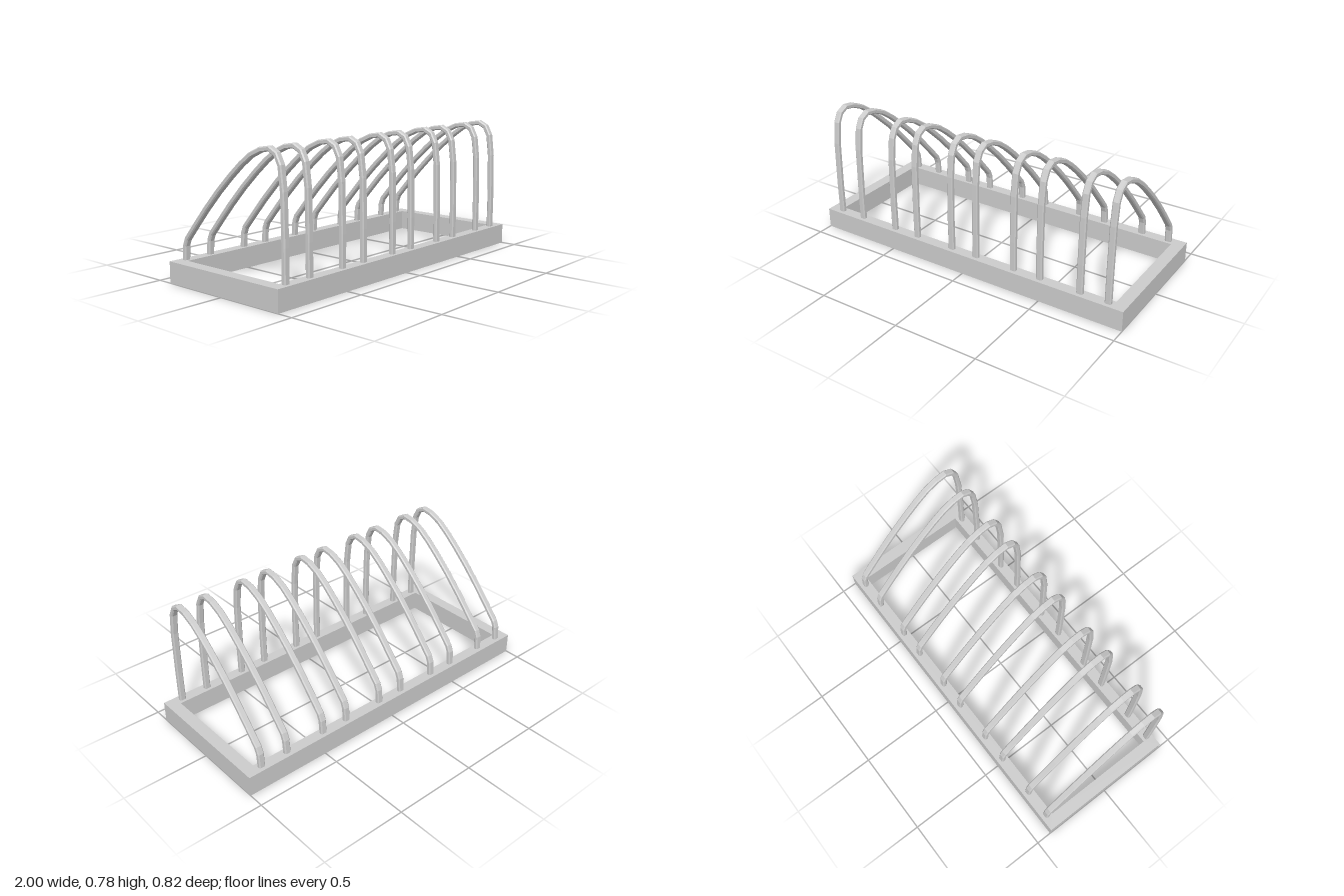
import * as THREE from 'three';

const material = new THREE.MeshStandardMaterial({ color: 0xcccccc, flatShading: true });

// Hoop centre line as [z, y], from the front foot over the top to the back foot
const PATH = [
  [0.376, 0.12], [0.377, 0.3], [0.372, 0.57], [0.357, 0.695], [0.33, 0.747],
  [0.285, 0.77], [0.225, 0.761], [0.153, 0.729], [0.08, 0.677], [0, 0.609],
  [-0.093, 0.523], [-0.195, 0.418], [-0.28, 0.323], [-0.355, 0.237],
  [-0.37, 0.2], [-0.376, 0.12],
].map(([z, y]) => new THREE.Vector3(0, y, z));

// Chamfered bar section: half width in x, half depth across the bend
const W = 0.0185, D = 0.0138, C = 0.006;
const SECTION = [
  [W, -D + C], [W, D - C], [W - C, D], [-W + C, D],
  [-W, D - C], [-W, -D + C], [-W + C, -D], [W - C, -D],
];

// Sweeps the section along the path with mitred joints and closed ends
function hoopGeometry() {
  const n = SECTION.length, last = PATH.length - 1;
  const xAxis = new THREE.Vector3(1, 0, 0);
  const dir = (i) => PATH[i + 1].clone().sub(PATH[i]).normalize();
  const positions = [], index = [];
  PATH.forEach((p, i) => {
    const before = dir(Math.max(i - 1, 0)), after = dir(Math.min(i, last - 1));
    const tangent = before.clone().add(after).normalize();
    const normal = tangent.clone().cross(xAxis).divideScalar(tangent.dot(before));
    for (const [a, b] of SECTION) {
      positions.push(a, p.y + normal.y * b, p.z + normal.z * b);
    }
  });
  for (let i = 0; i < last; i++) {
    for (let j = 0; j < n; j++) {
      const a = i * n + j, b = i * n + (j + 1) % n;
      index.push(a, b, b + n, a, b + n, a + n);
    }
  }
  for (let j = 1; j < n - 1; j++) {
    const e = last * n;
    index.push(0, j + 1, j, e, e + j, e + j + 1);
  }
  const geometry = new THREE.BufferGeometry();
  geometry.setAttribute('position', new THREE.Float32BufferAttribute(positions, 3));
  geometry.setIndex(index);
  geometry.computeVertexNormals();
  return geometry;
}

// Rectangular outline centred on the origin
function rectangle(target, hw, hd) {
  target.moveTo(-hw, -hd);
  target.lineTo(hw, -hd);
  target.lineTo(hw, hd);
  target.lineTo(-hw, hd);
  target.closePath();
  return target;
}

export function createModel() {
  const model = new THREE.Group();
  model.name = 'bikeRack';

  // Open base frame
  const outline = rectangle(new THREE.Shape(), 1, 0.41);
  outline.holes.push(rectangle(new THREE.Path(), 0.93, 0.345));
  const frameGeometry = new THREE.ExtrudeGeometry(outline, { depth: 0.12, bevelEnabled: false });
  frameGeometry.rotateX(-Math.PI / 2);
  const frame = new THREE.Mesh(frameGeometry, material);
  frame.name = 'baseFrame';
  model.add(frame);

  // Five pairs of wheel hoops
  const geometry = hoopGeometry();
  for (let i = 0; i < 5; i++) {
    const pair = new THREE.Group();
    pair.name = `hoopPair${i + 1}`;
    pair.position.x = -0.007 + (i - 2) * 0.412;
    for (const side of [-1, 1]) {
      const hoop = new THREE.Mesh(geometry, material);
      hoop.name = side < 0 ? 'rightHoop' : 'leftHoop';
      hoop.position.x = side * 0.083;
      pair.add(hoop);
    }
    model.add(pair);
  }
  return model;
}
